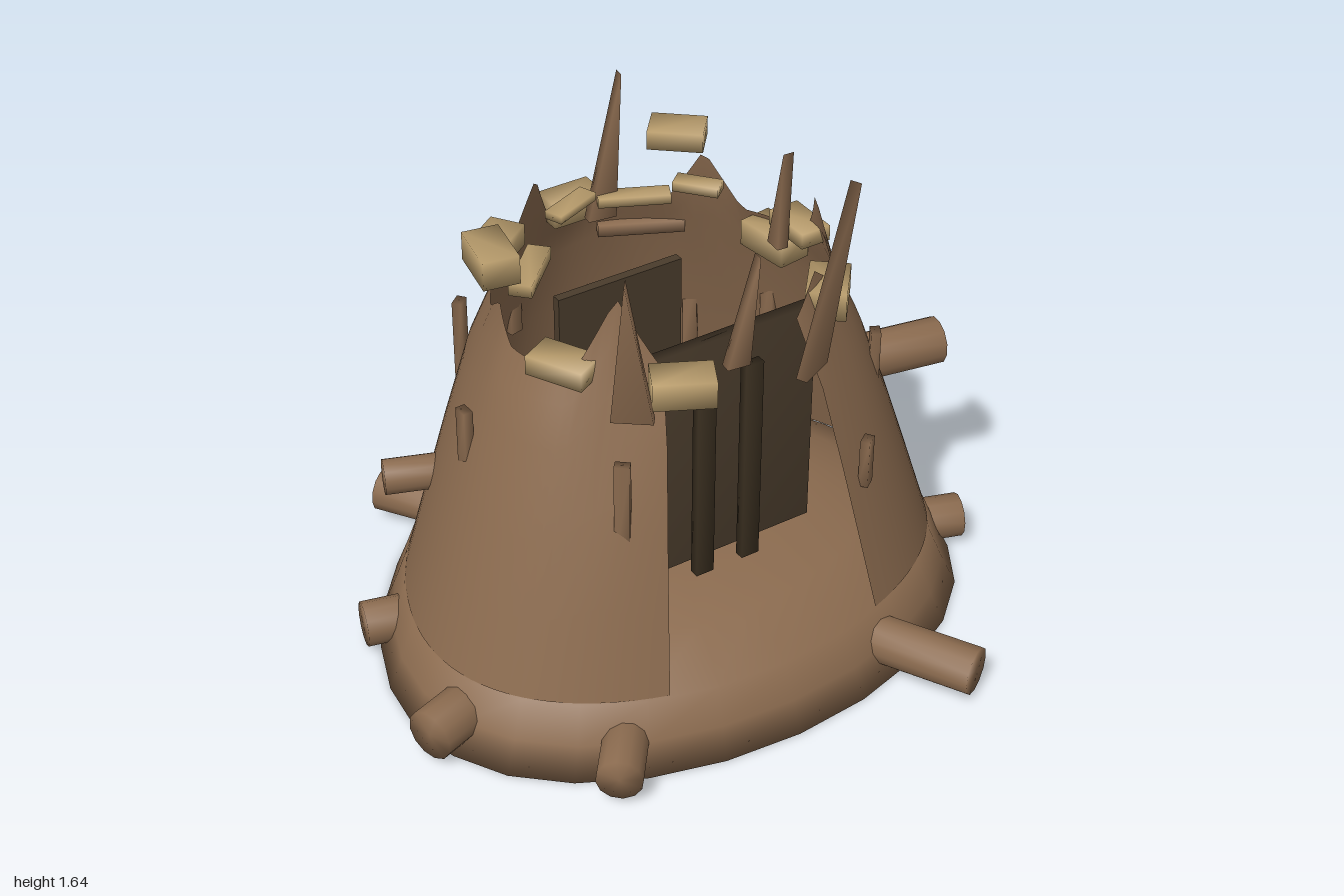
import * as THREE from 'three';
import { mergeVertices } from 'three/addons/utils/BufferGeometryUtils.js';

const mat = (name, color, side = THREE.FrontSide) => {
  const m = new THREE.MeshStandardMaterial({ color, side });
  m.name = name;
  return m;
};

// Point on an egg-shaped ring, wider towards the front; t = 0 faces +z
const egg = (t, rx, rz, y) =>
  [rx * Math.sin(t) * (1 + 0.2 * Math.cos(t)), y, rz * Math.cos(t) - 0.01];

// Smooth grid surface from fn(u, row)
function surface(fn, nu, nv) {
  const pos = [], idx = [];
  for (let j = 0; j <= nv; j++)
    for (let i = 0; i <= nu; i++) pos.push(...fn(i / nu, j));
  for (let j = 0; j < nv; j++)
    for (let i = 0; i < nu; i++) {
      const a = j * (nu + 1) + i, b = a + 1, c = a + nu + 1, d = c + 1;
      idx.push(a, b, d, a, d, c);
    }
  const g = new THREE.BufferGeometry();
  g.setAttribute('position', new THREE.Float32BufferAttribute(pos, 3));
  g.setIndex(idx);
  return soften(g);
}

// Weld the corners so that the shading runs smoothly over every edge
function soften(geo) {
  geo.deleteAttribute('normal');
  geo.deleteAttribute('uv');
  const g = mergeVertices(geo, 1e-4);
  g.computeVertexNormals();
  return g;
}
const softBox = (w, h, d) => soften(new THREE.BoxGeometry(w, h, d));

// Linear look-up in rows of [y, rx, rz]
function radiiAt(rows, y) {
  let k = 0;
  while (k < rows.length - 2 && y > rows[k + 1][0]) k++;
  const [a, b] = [rows[k], rows[k + 1]], f = (y - a[0]) / (b[0] - a[0]);
  return [a[1] + (b[1] - a[1]) * f, a[2] + (b[2] - a[2]) * f];
}

export function createModel() {
  const bark = mat('bark brown', 0x8b6b4f);
  const shellBark = mat('shell bark brown', 0x8b6b4f, THREE.DoubleSide);
  const tan = mat('pale wood', 0xb89c6c);
  const dark = mat('dark wood', 0x4a3c2c);
  const darker = mat('darkest wood', 0x3a2f20);
  const model = new THREE.Group();
  const add = (name, geo, m, x = 0, y = 0, z = 0, ry = 0) => {
    const mesh = new THREE.Mesh(geo, m);
    mesh.name = name;
    mesh.position.set(x, y, z);
    mesh.rotation.y = ry;
    model.add(mesh);
    return mesh;
  };

  // Closed root base: underside, flared skirt and low raised floor
  const base = [[0, 0, 0], [0.925, 0.82, 0], [0.88, 0.78, 0.1], [0.835, 0.735, 0.215],
    [0.66, 0.56, 0.3], [0.45, 0.36, 0.355], [0, 0, 0.365]];
  add('rootBase', surface((u, j) => egg(u * Math.PI * 2, ...base[j]), 28, base.length - 1), bark);

  // Tapering trunk wall, open at the front, with a splintered rim
  const wall = [[0.22, 0.83, 0.73], [0.65, 0.7, 0.62], [0.95, 0.6, 0.54], [1.15, 0.51, 0.45], [1.37, 0.47, 0.4]];
  const teeth = [[-0.62, 0.22], [-1.6, 0.08], [-2.7, 0.2], [2.85, 0.06], [2.2, 0.2], [1.23, 0.19], [0.6, 0.1]];
  const gap = 0.38, steps = [0, 0.25, 0.5, 0.78, 0.9, 1];
  add('trunkWall', surface((u, j) => {
    const t = gap + u * (Math.PI * 2 - gap * 2);
    let top = 1.15;
    for (const [a, h] of teeth) {
      const d = Math.abs(Math.atan2(Math.sin(t - a), Math.cos(t - a)));
      top = Math.max(top, 1.15 + h * (1 - d / 0.24));
    }
    const y = 0.22 + (top - 0.22) * steps[j];
    return egg(t, ...radiiAt(wall, y), y);
  }, 96, 5), shellBark);

  // Doorway panel, its two battens, and an inner partition
  add('doorPanel', softBox(0.68, 0.76, 0.04), dark, 0, 0.75, 0.32);
  for (const s of [-1, 1])
    add('doorBatten', softBox(0.06, 0.69, 0.03), darker, s * 0.08, 0.715, 0.4);
  add('innerPartition', new THREE.BoxGeometry(0.43, 0.7, 0.03), dark, 0, 0.7, -0.19);

  // Round stubs: outer end x, y, z, then radius and length
  const pegs = [[0.225, 0.09, -0.98, 0.065, 0.35], [-0.54, 0.09, -0.79, 0.07, 0.3],
    [-0.9, 0.09, -0.22, 0.07, 0.25], [0.83, 0.09, -0.4, 0.07, 0.25],
    [-0.97, 0.1, 0.33, 0.08, 0.25], [0.96, 0.09, 0.32, 0.07, 0.25],
    [-0.6, 0.09, 0.77, 0.07, 0.25], [0.53, 0.1, 0.955, 0.075, 0.4],
    [0.94, 0.69, 0.17, 0.075, 0.34], [-0.77, 0.56, -0.28, 0.055, 0.24]];
  for (const [x, y, z, r, len] of pegs) {
    const dir = new THREE.Vector3(x, 0, z).normalize();
    const peg = add('rootStub', soften(new THREE.CylinderGeometry(r, r, len, 12)), bark,
      x - dir.x * len / 2, y, z - dir.z * len / 2);
    peg.quaternion.setFromUnitVectors(new THREE.Vector3(0, 1, 0), dir);
  }

  // Upright bark strips: x, z, bottom, top
  const strips = [[-0.41, 0.49, 0.6, 0.95], [0.39, 0.55, 0.6, 0.76], [0.57, 0.33, 0.72, 0.95],
    [0.65, 0.05, 0.7, 0.76], [0.58, -0.23, 0.52, 0.95], [0.43, -0.45, 0.5, 0.76],
    [0.15, -0.59, 0.55, 0.95], [-0.14, -0.59, 0.68, 0.95], [-0.39, -0.47, 0.6, 0.95],
    [-0.65, 0.03, 0.74, 0.95]];
  for (const [x, z, y0, y1] of strips)
    add('barkStrip', softBox(0.045, y1 - y0, 0.03), bark, x, (y0 + y1) / 2, z, Math.atan2(x, z));

  // Tall flat splinters: base x, y, z, tip x, y, z, width
  const splinters = [[-0.37, 1.08, 0.48, -0.43, 1.58, 0.54, 0.12], [0.23, 1.02, 0.48, 0.345, 1.61, 0.49, 0.12],
    [0.05, 1.15, -0.37, 0.1, 1.64, -0.34, 0.09], [-0.065, 1.18, 0.53, -0.01, 1.52, 0.54, 0.07],
    [0.42, 1.14, 0.03, 0.42, 1.47, 0.07, 0.06]];
  for (const [x, y, z, tx, ty, tz, w] of splinters) {
    const a = Math.atan2(x, z), c = Math.cos(a), s = Math.sin(a);
    const lean = (tx - x) * c - (tz - z) * s;
    const shape = new THREE.Shape([new THREE.Vector2(-w / 2, 0), new THREE.Vector2(w / 2, 0),
      new THREE.Vector2(lean, ty - y)]);
    const geo = new THREE.ExtrudeGeometry(shape, { depth: 0.035, bevelEnabled: false });
    geo.translate(0, 0, -0.0175);
    const out = (tx - x) * s + (tz - z) * c, p = geo.attributes.position;
    for (let i = 0; i < p.count; i++) p.setZ(i, p.getZ(i) + out * p.getY(i) / (ty - y));
    add('splinter', soften(geo), bark, x, y, z, a);
  }

  // Loose blocks around the rim: x, y, z, width, height, depth, turn in degrees
  const blocks = [[0, 1.17, -0.46, 0.17, 0.08, 0.1, 0], [0.31, 1.37, -0.35, 0.17, 0.06, 0.12, -40],
    [-0.32, 1.19, -0.35, 0.16, 0.07, 0.11, 35], [-0.1, 1.28, -0.29, 0.17, 0.025, 0.06, 22],
    [0.13, 1.225, -0.31, 0.22, 0.03, 0.06, -25], [-0.3, 1.175, -0.19, 0.22, 0.04, 0.07, 45],
    [0.24, 1.32, -0.13, 0.14, 0.03, 0.06, -50], [-0.49, 1.35, -0.07, 0.18, 0.09, 0.11, 80],
    [0.48, 1.09, -0.07, 0.18, 0.085, 0.11, -82], [0.49, 1.19, 0.04, 0.17, 0.05, 0.1, 90],
    [-0.45, 1.16, 0.25, 0.18, 0.06, 0.11, -62], [-0.22, 1.15, 0.5, 0.18, 0.085, 0.11, -27],
    [0.38, 1.16, 0.34, 0.17, 0.09, 0.12, 50]];
  for (const [x, y, z, w, h, d, deg] of blocks)
    add('rimBlock', softBox(w, h, d), tan, x, y, z, deg * Math.PI / 180);
  add('backPlank', softBox(0.27, 0.04, 0.09), bark, 0.24, 1.03, -0.45, -0.44);

  return model;
}
